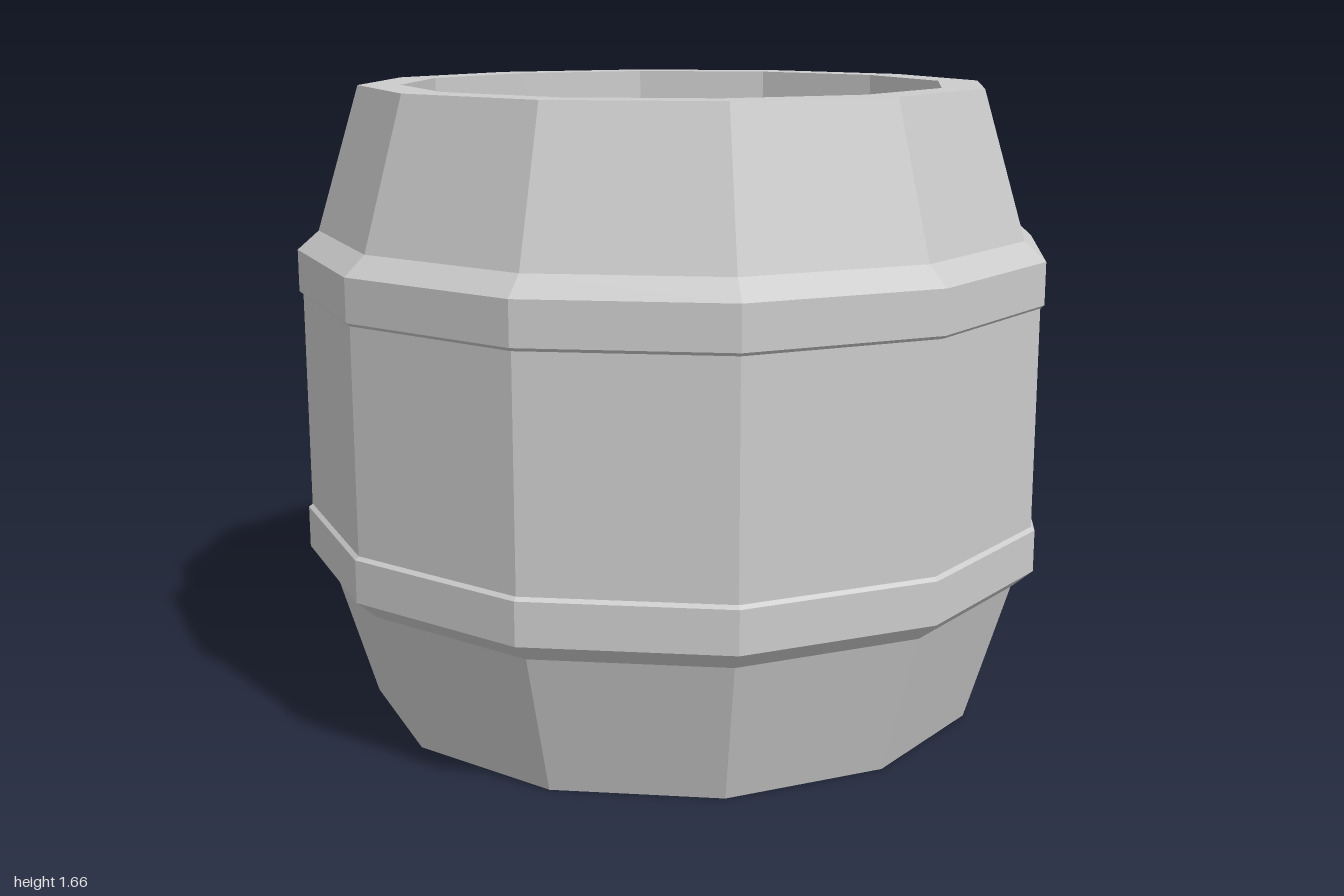
import * as THREE from 'three';

const SIDES = 12;
const HEIGHT = 1.66;

export function createModel() {
  const model = new THREE.Group();
  model.name = 'barrel';
  const material = new THREE.MeshStandardMaterial({ color: 0xcccccc, flatShading: true });

  // Turns an [r, y] profile, listed counter-clockwise, into a faceted ring
  const turn = (name, profile) => {
    const points = profile.map(([r, y]) => new THREE.Vector2(r, y));
    const mesh = new THREE.Mesh(new THREE.LatheGeometry(points, SIDES), material);
    mesh.name = name;
    model.add(mesh);
  };

  // Hollow body: base, tapered staves, rim, straight inner wall and floor
  turn('body', [
    [0, 0], [0.83, 0], [0.945, 0.38], [0.99, 0.53], [0.99, HEIGHT - 0.53],
    [0.945, HEIGHT - 0.38], [0.83, HEIGHT], [0.72, HEIGHT], [0.72, 0.12], [0, 0.12],
  ]);

  // Hoops, mirrored about the middle of the barrel
  const hoop = [[0.943, 0.375], [1, 0.425], [1, 0.535], [0.985, 0.548]];
  turn('lowerHoop', hoop);
  turn('upperHoop', hoop.map(([r, y]) => [r, HEIGHT - y]).reverse());

  return model;
}
